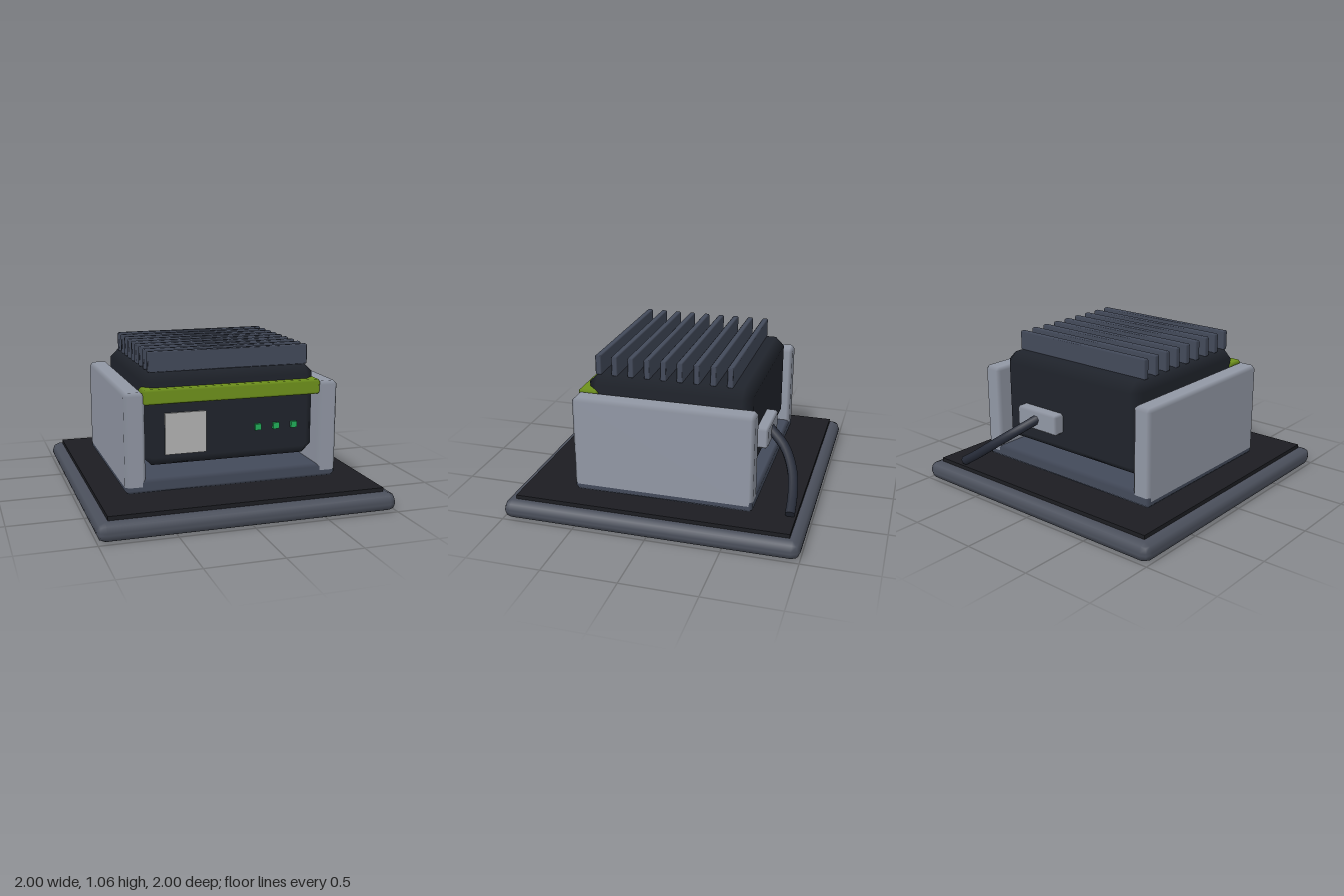
import * as THREE from 'three';
import { RoundedBoxGeometry } from 'three/addons/geometries/RoundedBoxGeometry.js';
import { ConvexGeometry } from 'three/addons/geometries/ConvexGeometry.js';

const paint = (color) => new THREE.MeshStandardMaterial({ color });

// Box with single-step chamfers, shaded smoothly across them
function chamferBox(w, h, d, b) {
  const half = [w / 2, h / 2, d / 2];
  const points = [];
  for (let axis = 0; axis < 3; axis++)
    for (const sx of [-1, 1]) for (const sy of [-1, 1]) for (const sz of [-1, 1]) {
      const s = [sx, sy, sz];
      points.push(new THREE.Vector3(...half.map((v, i) => s[i] * (i === axis ? v : v - b))));
    }
  const geo = new ConvexGeometry(points);
  const pos = geo.attributes.position;
  for (let i = 0; i < pos.count; i++) {
    const p = [pos.getX(i), pos.getY(i), pos.getZ(i)];
    geo.attributes.normal.setXYZ(i, ...p.map((v, k) => (Math.abs(v) > half[k] - b / 2 ? Math.sign(v) : 0)));
  }
  return geo;
}

export function createModel() {
  const model = new THREE.Group();
  model.name = 'dockedDevice';

  const mats = {
    base: paint(0x4b505c), mat: paint(0x1c1d22), slate: paint(0x434a5a),
    wall: paint(0x9298a5), body: paint(0x20242c), green: paint(0x6f921c),
    screen: paint(0xb4b4b4), led: paint(0x22b05a), cable: paint(0x262b38),
  };

  const add = (name, geo, mat, x = 0, y = 0, z = 0) => {
    const mesh = new THREE.Mesh(geo, mat);
    mesh.name = name;
    mesh.position.set(x, y, z);
    model.add(mesh);
    return mesh;
  };

  // Box given by its ranges on each axis; bevel 0 keeps sharp edges
  const block = (name, mat, [x0, x1], [y0, y1], [z0, z1], bevel = 0) => {
    const size = [x1 - x0, y1 - y0, z1 - z0];
    const geo = bevel ? chamferBox(...size, bevel) : new THREE.BoxGeometry(...size);
    return add(name, geo, mat, (x0 + x1) / 2, (y0 + y1) / 2, (z0 + z1) / 2);
  };

  // Base plate and mat
  add('basePlate', new RoundedBoxGeometry(2, 0.125, 2, 1, 0.055), mats.base, 0, 0.0625, 0);
  block('baseMat', mats.mat, [-0.925, 0.925], [0.11, 0.152], [-0.925, 0.925]);

  // Cradle: floor and two side walls
  block('cradleFloor', mats.slate, [-0.737, 0.737], [0.152, 0.245], [-0.645, 0.575], 0.022);
  for (const s of [-1, 1]) {
    const xs = s > 0 ? [0.6, 0.738] : [-0.738, -0.6];
    block(s > 0 ? 'leftWall' : 'rightWall', mats.wall, xs, [0.175, 0.82], [-0.645, 0.577], 0.024);
  }

  // Device body with front trim
  block('body', mats.body, [-0.597, 0.597], [0.305, 0.932], [-0.592, 0.518], 0.062);
  block('frontBand', mats.green, [-0.612, 0.612], [0.735, 0.835], [0.44, 0.576], 0.015);
  block('screen', mats.screen, [-0.458, -0.18], [0.387, 0.665], [0.5, 0.53]);
  for (const x of [0.182, 0.311, 0.44])
    block('statusLight', mats.led, [x - 0.021, x + 0.021], [0.507, 0.549], [0.5, 0.54]);

  // Heat sink fins
  for (let i = 0; i < 9; i++) {
    const z = 0.449 - i * 0.1113;
    block('coolingFin', mats.slate, [-0.555, 0.555], [0.925, 1.062], [z - 0.021, z + 0.021], 0.008);
  }

  // Rear connector and cable
  block('rearConnector', mats.wall, [0.04, 0.4], [0.457, 0.6], [-0.668, -0.57], 0.015);
  const path = new THREE.CatmullRomCurve3([
    [0.22, 0.54, -0.645], [0.32, 0.455, -0.77], [0.46, 0.35, -0.85],
    [0.6, 0.25, -0.88], [0.72, 0.175, -0.887],
  ].map((p) => new THREE.Vector3(...p)));
  add('cable', new THREE.TubeGeometry(path, 16, 0.034, 8), mats.cable);
  const end = path.getPoint(1);
  const cap = add('cableEnd', new THREE.CircleGeometry(0.034, 8), mats.cable, end.x, end.y, end.z);
  cap.lookAt(end.clone().add(path.getTangent(1)));

  return model;
}
